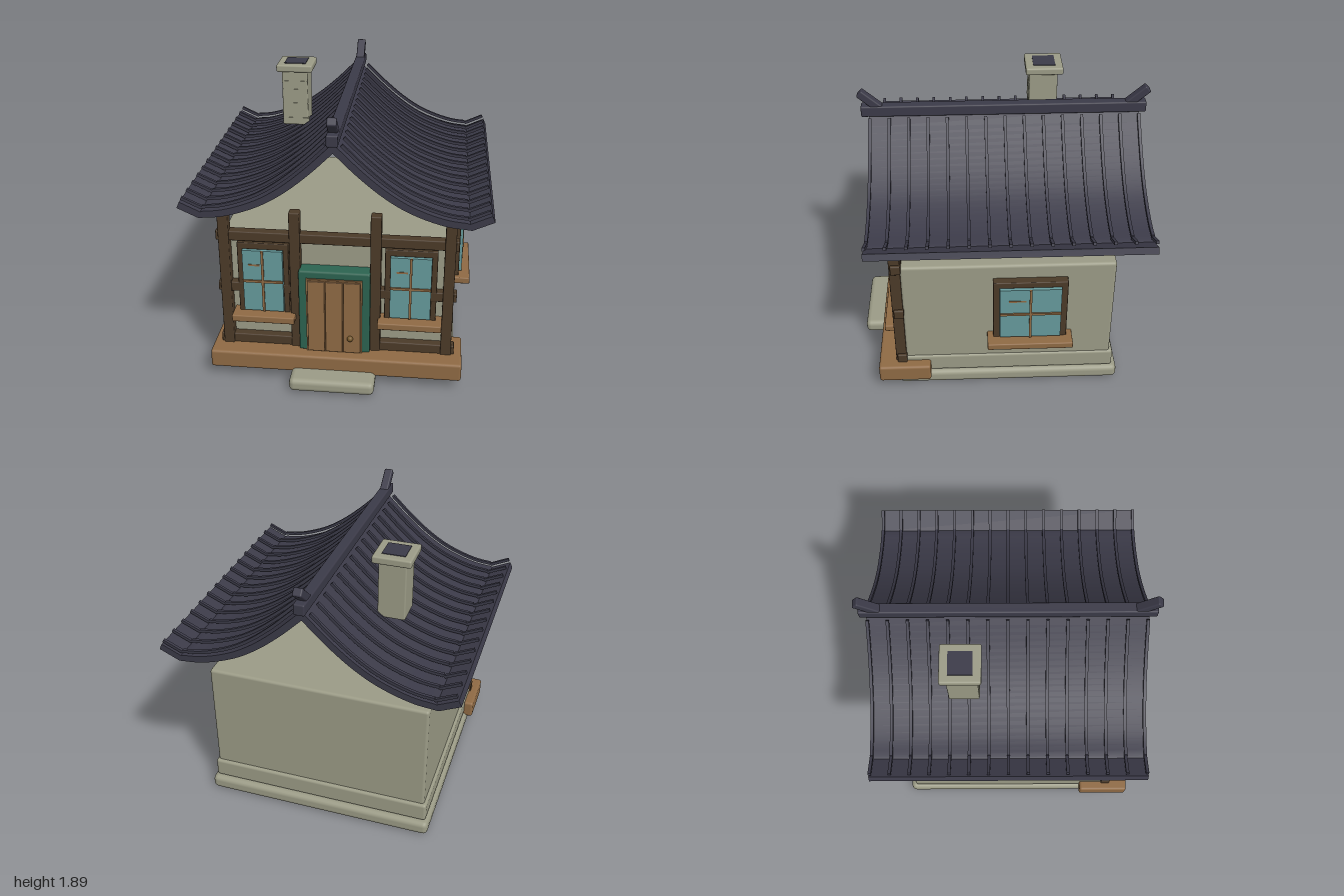
import * as THREE from 'three';
import { toCreasedNormals } from 'three/addons/utils/BufferGeometryUtils.js';
import { RoundedBoxGeometry } from 'three/addons/geometries/RoundedBoxGeometry.js';

function material(name, color) {
  const m = new THREE.MeshStandardMaterial({ color });
  m.name = name;
  return m;
}

const stone = material('stone', 0x9b9b86);
const slate = material('slate', 0x3b3a48);
const darkWood = material('dark wood', 0x4b3a28);
const wood = material('light wood', 0x8f6a44);
const green = material('green paint', 0x2c6350);
const glass = material('glass', 0x669a9c);
const brass = material('brass', 0x75582c);

function add(parent, name, geometry, mat) {
  const mesh = new THREE.Mesh(geometry, mat);
  mesh.name = name;
  parent.add(mesh);
  return mesh;
}

// Box given by its limits, with rounded edges when r > 0
function box(parent, name, mat, [x0, x1], [y0, y1], [z0, z1], r = 0) {
  const w = x1 - x0, h = y1 - y0, d = z1 - z0;
  const geometry = r ? new RoundedBoxGeometry(w, h, d, 2, r) : new THREE.BoxGeometry(w, h, d);
  const mesh = add(parent, name, geometry, mat);
  mesh.position.set((x0 + x1) / 2, (y0 + y1) / 2, (z0 + z1) / 2);
  return mesh;
}

// Window facing +z, wall surface at z = 0, pane centred on the origin
function makeWindow(name, w, h, border) {
  const g = new THREE.Group();
  g.name = name;
  const a = w / 2, b = h / 2, o = a + border, t = b + 0.045;
  for (const s of [-1, 1]) {
    const x = [s * a, s * o].sort((p, q) => p - q);
    box(g, 'windowJamb', darkWood, x, [-b - 0.02, t], [-0.02, 0.055], 0.006);
  }
  box(g, 'windowHead', darkWood, [-o, o], [b, t], [-0.02, 0.055], 0.006);
  box(g, 'windowPane', glass, [-a, a], [-b, b], [-0.02, 0.075]);
  box(g, 'verticalBar', wood, [-0.008, 0.008], [-b, b], [0.07, 0.085]);
  box(g, 'horizontalBar', wood, [-a, a], [-0.008, 0.008], [0.07, 0.085]);
  box(g, 'paneGlint', wood, [-a * 0.7, -a * 0.14], [b * 0.5, b * 0.5 + 0.012], [0.073, 0.078]);
  box(g, 'windowSill', wood, [-o - 0.04, o + 0.04], [-b - 0.062, -b - 0.014], [-0.02, 0.135], 0.008);
  return g;
}

// Sweeping roof line from ridge to kink, then a straight upturned eave
function roofLine() {
  const pts = [[0, 1.655], [0.15, 1.51], [0.31, 1.38], [0.47, 1.285], [0.685, 1.21], [0.85, 1.19]];
  const curve = new THREE.CatmullRomCurve3(pts.map(([x, y]) => new THREE.Vector3(x, y, 0)));
  const line = curve.getPoints(22).map(p => new THREE.Vector2(p.x, p.y));
  line.push(new THREE.Vector2(0.985, 1.252));
  return line;
}

function offsetLine(line, d) {
  return line.map((p, i) => {
    const t = line[Math.min(i + 1, line.length - 1)].clone().sub(line[Math.max(i - 1, 0)]).normalize();
    return new THREE.Vector2(Math.max(0, p.x - t.y * d), p.y + t.x * d);
  });
}

// Cross-section between two offsets of the roof line, swept along z
function roofStrip(line, low, high, depth, side) {
  const top = offsetLine(line, high);
  const bottom = low ? offsetLine(line, low) : line.map(p => p.clone());
  if (!low) top[0].set(0, line[0].y + high * 1.4);
  const outline = [...bottom, ...top.reverse()].map(p => new THREE.Vector2(p.x * side, p.y));
  const geometry = new THREE.ExtrudeGeometry(new THREE.Shape(outline), { depth, bevelEnabled: false });
  return toCreasedNormals(geometry, 0.35);
}

export function createModel() {
  const house = new THREE.Group();
  house.name = 'house';

  // Stone base and walls
  box(house, 'foundation', stone, [-0.798, 0.79], [0, 0.1], [-0.795, 0.725], 0.035);
  box(house, 'plinth', stone, [-0.775, 0.767], [0.1, 0.235], [-0.76, 0.69], 0.02);
  box(house, 'walls', stone, [-0.755, 0.755], [0.2, 1.005], [-0.738, 0.67], 0.02);
  box(house, 'doorStep', stone, [-0.29, 0.273], [0.01, 0.103], [0.7, 0.997], 0.035);
  box(house, 'porchPlank', wood, [-0.84, 0.838], [0.073, 0.2], [0.5, 0.855], 0.018);

  // Timber framing on the front
  for (const x of [-0.735, -0.27, 0.256, 0.73]) {
    box(house, 'post', darkWood, [x - 0.035, x + 0.035], [0.19, 1.192], [0.665, 0.737], 0.008);
  }
  for (const y of [0.23, 0.63, 1.005]) {
    box(house, 'beam', darkWood, [-0.788, 0.785], [y - 0.034, y + 0.034], [0.66, 0.726], 0.008);
  }

  // Door with painted surround
  const door = new THREE.Group();
  door.name = 'door';
  house.add(door);
  box(door, 'leftSurround', green, [0.17, 0.225], [0.2, 0.79], [0.66, 0.77], 0.01);
  box(door, 'rightSurround', green, [-0.245, -0.19], [0.2, 0.79], [0.66, 0.77], 0.01);
  box(door, 'topSurround', green, [-0.245, 0.225], [0.74, 0.798], [0.66, 0.77], 0.015);
  box(door, 'doorPanel', wood, [-0.195, 0.175], [0.2, 0.745], [0.68, 0.778]);
  for (let i = 0; i < 3; i++) {
    const x = -0.185 + i * 0.118;
    box(door, 'doorPlank', wood, [x, x + 0.114], [0.205, 0.735], [0.76, 0.79], 0.005);
  }
  add(door, 'doorKnob', new THREE.SphereGeometry(0.02, 16, 12), brass).position.set(0.097, 0.32, 0.797);

  // Windows
  for (const x of [-0.482, 0.485]) {
    const front = makeWindow('frontWindow', 0.265, 0.445, 0.037);
    front.position.set(x, 0.692, 0.67);
    house.add(front);
  }
  const sideWindow = makeWindow('sideWindow', 0.405, 0.405, 0.043);
  sideWindow.position.set(0.755, 0.657, -0.177);
  sideWindow.rotation.y = Math.PI / 2;
  house.add(sideWindow);

  // Roof slopes and raised ribs
  const roof = new THREE.Group();
  roof.name = 'roof';
  house.add(roof);
  const line = roofLine();
  for (const side of [-1, 1]) {
    add(roof, 'roofSlope', roofStrip(line, 0, 0.045, 1.8, side), slate).position.z = -0.938;
    const rib = roofStrip(line, 0.064, 0.084, 0.02, side);
    for (let i = 0; i < 15; i++) {
      add(roof, 'roofRib', rib, slate).position.z = -0.938 + i * 0.1271;
    }
  }

  // Ridge beam with an upturned horn at each end
  box(roof, 'ridgeBeam', slate, [-0.036, 0.036], [1.71, 1.785], [-0.98, 0.91], 0.01);
  for (const s of [-1, 1]) {
    const horn = add(roof, 'ridgeHorn', new RoundedBoxGeometry(0.06, 0.055, 0.2, 2, 0.01), slate);
    horn.position.set(0, 1.81, -0.036 + s * 0.876);
    horn.rotation.x = -s * 0.72;
  }

  // Chimney
  const chimney = new THREE.Group();
  chimney.name = 'chimney';
  house.add(chimney);
  box(chimney, 'chimneyShaft', stone, [-0.495, -0.312], [1.443, 1.85], [-0.42, -0.222], 0.01);
  for (const y of [1.49, 1.6, 1.7, 1.76]) {
    box(chimney, 'chimneyCourse', stone, [-0.493, -0.314], [y, y + 0.008], [-0.23, -0.219]);
  }
  box(chimney, 'chimneyCap', stone, [-0.53, -0.277], [1.835, 1.886], [-0.455, -0.197], 0.012);
  box(chimney, 'chimneyOpening', slate, [-0.48, -0.328], [1.88, 1.89], [-0.402, -0.25]);

  return house;
}
